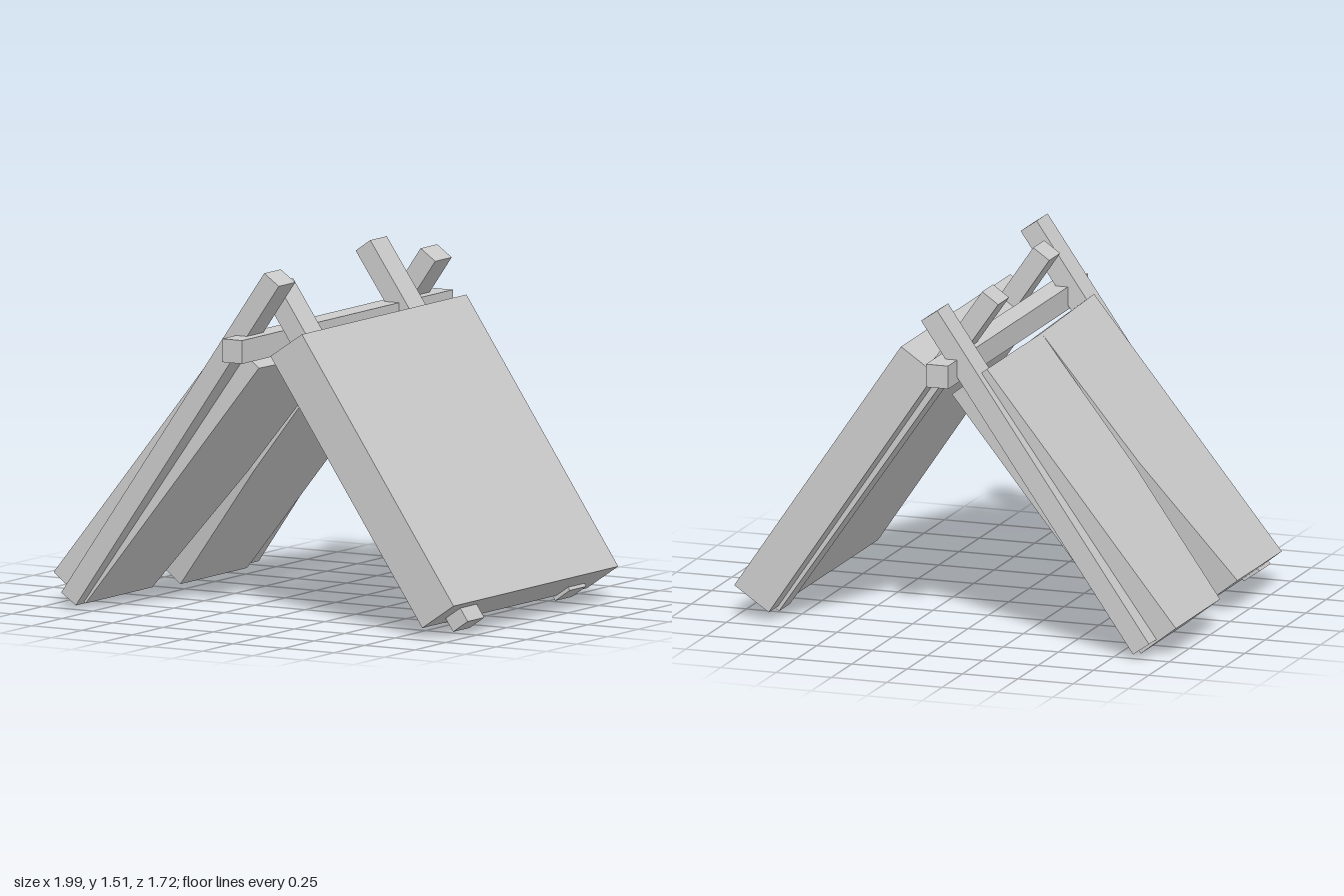
import * as THREE from 'three';

const material = new THREE.MeshStandardMaterial({ color: 0xcccccc, flatShading: true });

// Box running from point a to point b in the xy plane
function beam(name, a, b, thickness, z, depth) {
  const dx = b[0] - a[0], dy = b[1] - a[1];
  const mesh = new THREE.Mesh(new THREE.BoxGeometry(Math.hypot(dx, dy), thickness, depth), material);
  mesh.position.set((a[0] + b[0]) / 2, (a[1] + b[1]) / 2, z);
  mesh.rotation.z = Math.atan2(dy, dx);
  mesh.name = name;
  return mesh;
}

// Thick cloth flap: outline in (distance up the slope, z), extruded inwards
function flap(name, outline) {
  const shape = new THREE.Shape(outline.map(([u, z]) => new THREE.Vector2(u, z)));
  const geometry = new THREE.ExtrudeGeometry(shape, { depth: 0.2, bevelEnabled: false });
  const up = new THREE.Vector3(0.825, 1.06, 0).normalize();
  const across = new THREE.Vector3(0, 0, 1);
  const inward = new THREE.Vector3().crossVectors(up, across);
  geometry.applyMatrix4(new THREE.Matrix4().makeBasis(up, across, inward).setPosition(-0.98, 0.13, 0));
  const mesh = new THREE.Mesh(geometry, material);
  mesh.name = name;
  return mesh;
}

export function createModel() {
  const tent = new THREE.Group();
  tent.name = 'tent';

  // Ridge pole
  const ridge = new THREE.Mesh(new THREE.BoxGeometry(0.1, 0.1, 1.72), material);
  ridge.position.set(0.008, 1.173, 0);
  ridge.name = 'ridgePole';
  tent.add(ridge);

  // Crossed support poles
  tent.add(
    beam('frontOuterPole', [-0.872, 0.03], [0.135, 1.475], 0.088, 0.68, 0.135),
    beam('backOuterPole', [-0.872, 0.03], [0.085, 1.406], 0.088, -0.68, 0.135),
    beam('frontInnerPole', [0.955, 0.027], [0.007, 1.408], 0.088, 0.487, 0.135),
    beam('backInnerPole', [0.87, 0.03], [-0.12, 1.455], 0.088, -0.487, 0.135)
  );

  // Closed cover on the left side
  tent.add(beam('closedCover', [0.915, 0.08], [0.162, 1.187], 0.188, 0, 1.345));

  // Split cover on the right side, parting towards the ground
  tent.add(
    flap('frontFlap', [[0, 0.145], [0.65, 0.02], [1.335, -0.033], [1.35, 0.64], [0, 0.69]]),
    flap('backFlap', [[-0.025, -0.655], [1.335, -0.705], [1.335, -0.033], [0.65, -0.035], [-0.025, -0.11]])
  );

  return tent;
}
